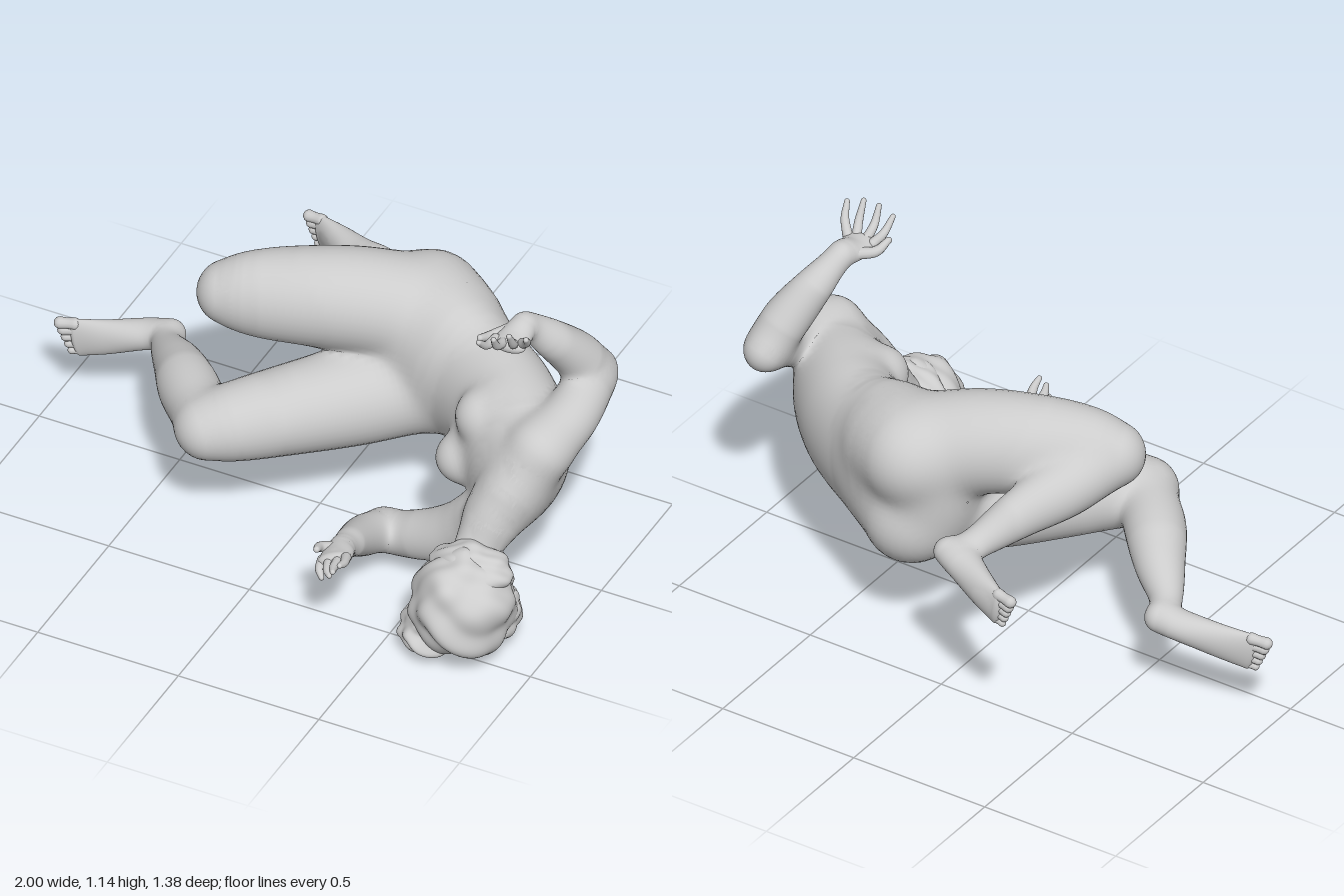
import * as THREE from 'three';

const V = (x, y, z) => new THREE.Vector3(x, y, z);
const material = new THREE.MeshStandardMaterial({ color: 0xcccccc });

function addMesh(parent, name, geometry) {
  const mesh = new THREE.Mesh(geometry, material);
  mesh.name = name;
  parent.add(mesh);
  return mesh;
}

// Smooth tube through rows of [x, y, z, radius along side, other radius], with rounded ends.
// The side direction blends from side0 to side1. Its rings are kept for blending parts together.
function loft(parent, name, rows, side0 = V(0, 1, 0), side1 = side0, around = 36) {
  const path = new THREE.CatmullRomCurve3(rows.map(r => V(r[0], r[1], r[2])), false, 'catmullrom');
  const size = new THREE.CatmullRomCurve3(rows.map(r => V(r[3], r[4] ?? r[3], 0)), false, 'catmullrom');
  const steps = (rows.length - 1) * 8, cap = 8, stations = [];
  for (let k = 0; k < cap; k++) stations.push([0, -Math.cos(k / cap * Math.PI / 2), Math.sin(k / cap * Math.PI / 2)]);
  for (let k = 0; k <= steps; k++) stations.push([k / steps, 0, 1]);
  for (let k = cap - 1; k >= 0; k--) stations.push([1, Math.cos(k / cap * Math.PI / 2), Math.sin(k / cap * Math.PI / 2)]);

  const positions = [], index = [], rings = [];
  stations.forEach(([u, push, scale], i) => {
    const c = path.getPoint(u), r = size.getPoint(u), t = path.getTangent(u);
    const s = side0.clone().lerp(side1, u);
    s.addScaledVector(t, -s.dot(t)).normalize();
    const w = t.clone().cross(s);
    if (scale === 1) rings.push({ c: c.clone(), s, w, t, a: r.x, b: r.y });
    c.addScaledVector(t, push * Math.min(r.x, r.y));
    const k = Math.max(scale, 0.02);
    for (let j = 0; j < around; j++) {
      const a = j / around * Math.PI * 2;
      const p = c.clone().addScaledVector(s, r.x * k * Math.cos(a)).addScaledVector(w, r.y * k * Math.sin(a));
      positions.push(p.x, p.y, p.z);
      if (i + 1 < stations.length) {
        const n = (j + 1) % around, A = i * around, B = A + around;
        index.push(A + j, A + n, B + j, A + n, B + n, B + j);
      }
    }
  });
  const g = new THREE.BufferGeometry();
  g.setAttribute('position', new THREE.Float32BufferAttribute(positions, 3));
  g.setIndex(index);
  g.computeVertexNormals();
  addMesh(parent, name, g).userData.rings = rings;
}

// Approximate distance from a point to a loft, sliding an ellipsoid between neighbouring rings
function distance(x, y, z, rings) {
  let best = Infinity;
  for (let i = 0; i + 1 < rings.length; i++) {
    const { c, s, w, t, a, b } = rings[i], next = rings[i + 1], d = next.c;
    const ex = d.x - c.x, ey = d.y - c.y, ez = d.z - c.z;
    const along = ((x - c.x) * ex + (y - c.y) * ey + (z - c.z) * ez) / (ex * ex + ey * ey + ez * ez);
    const u = Math.min(1, Math.max(0, along));
    const px = x - c.x - ex * u, py = y - c.y - ey * u, pz = z - c.z - ez * u;
    const ra = a + (next.a - a) * u, rb = b + (next.b - b) * u, rc = Math.min(ra, rb);
    const q0 = (px * s.x + py * s.y + pz * s.z) / ra;
    const q1 = (px * w.x + py * w.y + pz * w.z) / rb;
    const q2 = (px * t.x + py * t.y + pz * t.z) / rc;
    const k0 = Math.hypot(q0, q1, q2), k1 = Math.hypot(q0 / ra, q1 / rb, q2 / rc) || 1;
    best = Math.min(best, k0 * (k0 - 1) / k1);
  }
  return best;
}

// Settle overlapping body parts onto one shared soft surface, so that the joints show no seams
function blendParts(model) {
  const soft = 0.019, step = 0.002, parts = [];
  model.traverse(mesh => {
    const rings = mesh.userData.rings;
    mesh.userData = {};
    if (rings && Math.max(...rings.map(r => r.a)) > 0.03) {
      parts.push({ mesh, rings, box: new THREE.Box3().setFromObject(mesh).expandByScalar(0.04) });
    }
  });
  for (const { mesh, box } of parts) {
    const near = parts.filter(o => o.box.intersectsBox(box));
    const field = (x, y, z) => {
      let sum = 0;
      for (const o of near) sum += Math.exp(-distance(x, y, z, o.rings) / soft);
      return -soft * Math.log(sum);
    };
    const pos = mesh.geometry.attributes.position, nor = mesh.geometry.attributes.normal;
    for (let i = 0; i < pos.count; i++) {
      const p = V(0, 0, 0).fromBufferAttribute(pos, i), n = V(0, 0, 0);
      for (let pass = 0; pass < 4; pass++) {
        const f = field(p.x, p.y, p.z);
        n.set(field(p.x + step, p.y, p.z) - f, field(p.x, p.y + step, p.z) - f, field(p.x, p.y, p.z + step) - f).normalize();
        if (f < -0.06) break;
        if (pass < 3) p.addScaledVector(n, -f);
      }
      pos.setXYZ(i, p.x, p.y, p.z);
      nor.setXYZ(i, n.x, n.y, n.z);
    }
  }
}

// Foot loft with five toes fanned across its front edge
function foot(parent, name, rows, toeDir, side) {
  const group = new THREE.Group();
  group.name = name;
  loft(group, 'footBody', rows, side);
  const [x, y, z, half] = rows[rows.length - 1];
  for (let i = 0; i < 5; i++) {
    const r = 0.02 - i * 0.0018;
    const base = V(x, y, z).addScaledVector(side, half * (0.74 - i * 0.37));
    const tip = base.clone().addScaledVector(toeDir, 0.05 - i * 0.006);
    const mid = base.clone().lerp(tip, 0.5);
    loft(group, 'toe', [[...base, r], [...mid, r * 0.9], [...tip, r]], V(0, 0, 1), V(0, 0, 1), 12);
  }
  parent.add(group);
}

// Palm loft plus tapering, gently bent fingers: each is [base, knuckle, tip]
function hand(parent, name, palm, side, fingers) {
  const group = new THREE.Group();
  group.name = name;
  loft(group, 'palm', palm, side);
  fingers.forEach((points, i) => {
    const radii = i === 4 ? [0.021, 0.017, 0.011] : [0.017, 0.014, 0.009];
    loft(group, i === 4 ? 'thumb' : 'finger', points.map((p, k) => [...p, radii[k]]), V(1, 0.2, 0), V(1, 0.2, 0), 12);
  });
  parent.add(group);
}

function buildTorso(model) {
  loft(model, 'torso', [
    [0.21, 0.58, -0.25, 0.24, 0.17], [0.34, 0.58, -0.22, 0.265, 0.185],
    [0.47, 0.56, -0.17, 0.245, 0.17], [0.62, 0.55, -0.07, 0.23, 0.172],
    [0.74, 0.53, 0.07, 0.23, 0.167], [0.79, 0.5, 0.19, 0.195, 0.125],
    [0.77, 0.44, 0.29, 0.11, 0.09], [0.75, 0.37, 0.36, 0.072, 0.076], [0.74, 0.3, 0.42, 0.07, 0.07],
  ], V(0, 1, 0.05), V(0.55, 0.83, 0.1), 56);
  loft(model, 'upperChest', [[0.66, 0.64, 0.05, 0.1], [0.618, 0.645, 0.09, 0.08]]);
  loft(model, 'lowerChest', [[0.6, 0.48, 0.07, 0.1], [0.553, 0.465, 0.105, 0.08]]);
  loft(model, 'upperHip', [[0.34, 0.68, -0.26, 0.15], [0.24, 0.7, -0.315, 0.155]]);
  loft(model, 'lowerHip', [[0.35, 0.47, -0.23, 0.14], [0.25, 0.45, -0.3, 0.148]]);
  // Slopes from neck to each shoulder
  loft(model, 'upperShoulderSlope', [[0.77, 0.45, 0.29, 0.07], [0.83, 0.57, 0.23, 0.083], [0.88, 0.66, 0.18, 0.09]], V(0, 0, 1));
  loft(model, 'lowerShoulderSlope', [[0.76, 0.43, 0.29, 0.065], [0.71, 0.37, 0.24, 0.075], [0.66, 0.31, 0.2, 0.075]], V(0, 0, 1));
}

function buildLegs(model) {
  // Upper, left leg folded back
  loft(model, 'leftThigh', [
    [0.27, 0.69, -0.27, 0.165, 0.16], [0.08, 0.735, -0.18, 0.168, 0.166],
    [-0.1, 0.745, -0.1, 0.162, 0.152], [-0.24, 0.745, -0.04, 0.143, 0.128], [-0.33, 0.745, -0.005, 0.1, 0.095],
  ]);
  loft(model, 'leftShin', [
    [-0.33, 0.735, -0.015, 0.082], [-0.265, 0.69, -0.17, 0.099, 0.094], [-0.185, 0.64, -0.33, 0.08, 0.075],
    [-0.13, 0.595, -0.45, 0.055, 0.056], [-0.095, 0.575, -0.53, 0.04, 0.042],
  ]);
  foot(model, 'leftFoot', [
    [-0.062, 0.58, -0.56, 0.041, 0.041], [-0.14, 0.56, -0.575, 0.052, 0.055],
    [-0.24, 0.54, -0.625, 0.062, 0.043], [-0.325, 0.525, -0.665, 0.066, 0.024],
  ], V(-0.9, -0.1, -0.15).normalize(), V(-0.1, 1, 0).normalize());

  // Lower, right leg stretched further out
  loft(model, 'rightThigh', [
    [0.25, 0.46, -0.18, 0.16, 0.155], [0.1, 0.44, -0.06, 0.16, 0.158], [-0.05, 0.435, 0.085, 0.147],
    [-0.18, 0.43, 0.215, 0.128], [-0.255, 0.42, 0.285, 0.098],
  ]);
  loft(model, 'rightShin', [
    [-0.28, 0.42, 0.26, 0.088], [-0.4, 0.41, 0.125, 0.099], [-0.5, 0.385, 0, 0.082],
    [-0.59, 0.355, -0.1, 0.056], [-0.63, 0.34, -0.165, 0.04],
  ]);
  foot(model, 'rightFoot', [
    [-0.63, 0.335, -0.203, 0.042, 0.04], [-0.71, 0.32, -0.18, 0.05, 0.051],
    [-0.83, 0.29, -0.145, 0.062, 0.036], [-0.925, 0.272, -0.12, 0.07, 0.021],
  ], V(-0.97, -0.1, 0.2).normalize(), V(-0.15, 1, 0).normalize());
}

function buildArms(model) {
  // Raised left arm
  loft(model, 'leftUpperArm', [[0.875, 0.67, 0.19, 0.088], [0.91, 0.705, 0.05, 0.088], [0.91, 0.745, -0.1, 0.076], [0.9, 0.757, -0.16, 0.056]]);
  loft(model, 'leftForearm', [[0.9, 0.765, -0.155, 0.058], [0.87, 0.85, -0.09, 0.076], [0.815, 0.955, -0.01, 0.062], [0.77, 1.04, 0.06, 0.038], [0.765, 1.05, 0.09, 0.03]], V(1, 0, 0));
  hand(model, 'leftHand', [[0.765, 1.048, 0.085, 0.03, 0.028], [0.76, 1.04, 0.13, 0.05, 0.03], [0.76, 1.042, 0.18, 0.058, 0.025]], V(1, 0, 0), [
    [[0.715, 1.05, 0.18], [0.71, 1.06, 0.235], [0.705, 1.1, 0.28]],
    [[0.745, 1.05, 0.185], [0.75, 1.075, 0.24], [0.755, 1.125, 0.275]],
    [[0.778, 1.05, 0.18], [0.795, 1.085, 0.22], [0.8, 1.14, 0.255]],
    [[0.805, 1.055, 0.17], [0.835, 1.09, 0.2], [0.85, 1.13, 0.235]],
    [[0.73, 1.045, 0.11], [0.69, 1.04, 0.16], [0.675, 1.06, 0.21]],
  ]);

  // Resting right arm
  loft(model, 'rightUpperArm', [[0.66, 0.31, 0.2, 0.085], [0.53, 0.21, 0.19, 0.087], [0.4, 0.155, 0.18, 0.074], [0.315, 0.14, 0.17, 0.056]]);
  loft(model, 'rightForearm', [[0.31, 0.14, 0.175, 0.057], [0.3, 0.185, 0.28, 0.066], [0.31, 0.245, 0.4, 0.05], [0.325, 0.285, 0.49, 0.031]], V(1, 0, 0));
  hand(model, 'rightHand', [[0.325, 0.285, 0.49, 0.029, 0.027], [0.337, 0.305, 0.54, 0.05, 0.03], [0.35, 0.32, 0.59, 0.056, 0.024]], V(1, 0.35, 0), [
    [[0.305, 0.3, 0.59], [0.315, 0.295, 0.63], [0.335, 0.285, 0.655]],
    [[0.335, 0.315, 0.6], [0.35, 0.315, 0.645], [0.37, 0.315, 0.67]],
    [[0.365, 0.325, 0.6], [0.375, 0.335, 0.65], [0.388, 0.345, 0.682]],
    [[0.39, 0.34, 0.59], [0.405, 0.355, 0.635], [0.408, 0.37, 0.672]],
    [[0.315, 0.305, 0.52], [0.283, 0.325, 0.56], [0.29, 0.345, 0.6]],
  ]);
}

// Ellipsoid ruffled by crossing waves of the given strength
function wavyMass(parent, name, center, radii, strength) {
  const g = new THREE.SphereGeometry(1, 80, 56), p = g.attributes.position;
  for (let i = 0; i < p.count; i++) {
    const v = V(0, 0, 0).fromBufferAttribute(p, i), { x, y, z } = v;
    const wave = Math.sin(6 * x + 3 * Math.sin(2.5 * y + z)) + 0.8 * Math.sin(7 * y - 4 * z + 2 * Math.sin(3 * x))
      + 0.35 * Math.sin(13 * z + 6 * x - 4 * y);
    v.multiplyScalar(0.98 + strength * wave);
    p.setXYZ(i, v.x, v.y, v.z);
  }
  g.scale(...radii).translate(...center);
  g.computeVertexNormals();
  addMesh(parent, name, g);
}

function buildHead(model) {
  const head = new THREE.Group();
  head.name = 'head';
  wavyMass(head, 'hair', [0.755, 0.22, 0.485], [0.17, 0.19, 0.175], 0.042);
  wavyMass(head, 'crownHair', [0.765, 0.32, 0.45], [0.14, 0.1, 0.11], 0.05);
  wavyMass(head, 'gatheredHair', [0.825, 0.15, 0.4], [0.085, 0.1, 0.09], 0.05);
  wavyMass(head, 'looseHair', [0.65, 0.1, 0.5], [0.1, 0.09, 0.12], 0.06);
  // Face turned down toward the resting arm
  wavyMass(head, 'face', [0.685, 0.2, 0.45], [0.11, 0.14, 0.115], 0);
  loft(head, 'nose', [[0.59, 0.21, 0.47, 0.01], [0.572, 0.19, 0.45, 0.017], [0.58, 0.175, 0.44, 0.014]], V(0, 0, 1), V(0, 0, 1), 12);
  model.add(head);
}

export function createModel() {
  const model = new THREE.Group();
  model.name = 'recliningFigure';
  buildTorso(model);
  buildLegs(model);
  buildArms(model);
  buildHead(model);
  blendParts(model);
  return model;
}
